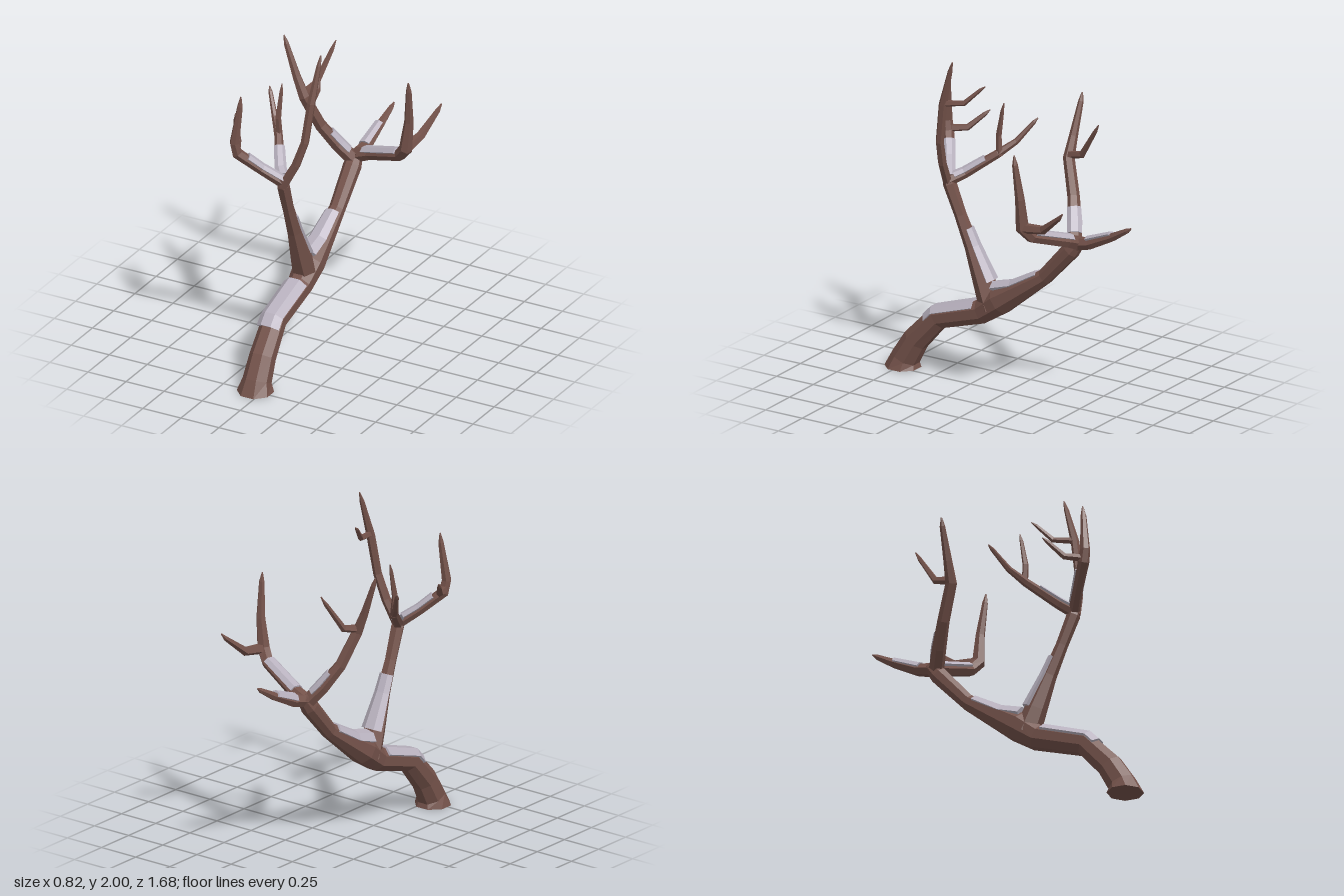
import * as THREE from 'three';

const UP = [0, 1, 0];

// Sweeps a cross-section along points [x, y, z, radius]; section(r) gives [angle, distance] pairs.
function sweep(path, section, normal, firstTangent) {
  const pts = path.map(p => new THREE.Vector3(p[0], p[1], p[2]));
  const n = new THREE.Vector3(...normal);
  const positions = [], index = [];
  const count = section(1).length;
  pts.forEach((p, i) => {
    const t = new THREE.Vector3();
    if (i > 0) t.add(p.clone().sub(pts[i - 1]).normalize());
    if (i < pts.length - 1) t.add(pts[i + 1].clone().sub(p).normalize());
    if (i === 0 && firstTangent) t.set(...firstTangent);
    t.normalize();
    n.addScaledVector(t, -n.dot(t)).normalize();
    const b = t.clone().cross(n);
    for (const [a, d] of section(path[i][3])) {
      const v = p.clone().addScaledVector(n, d * Math.cos(a)).addScaledVector(b, d * Math.sin(a));
      positions.push(v.x, v.y, v.z);
    }
  });
  for (let i = 0; i < pts.length - 1; i++) {
    for (let j = 0; j < count; j++) {
      const a = i * count + j, b = i * count + (j + 1) % count;
      index.push(a, b, b + count, a, b + count, a + count);
    }
  }
  const end = (pts.length - 1) * count;
  for (let j = 1; j < count - 1; j++) {
    index.push(0, j + 1, j, end, end + j, end + j + 1);
  }
  const indexed = new THREE.BufferGeometry();
  indexed.setAttribute('position', new THREE.Float32BufferAttribute(positions, 3));
  indexed.setIndex(index);
  const geo = indexed.toNonIndexed(); // separate faces for a faceted look
  geo.computeVertexNormals();
  return geo;
}

// Full round limb with a flat face towards its normal
const limbSection = sides => r =>
  Array.from({ length: sides }, (_, k) => [(k + 0.5) / sides * Math.PI * 2, r]);

// Snow cap: an arc just outside the limb, closed inside the wood
const snowSection = r => [
  ...[-62, -23, 23, 62].map(a => [a * Math.PI / 180, r + 0.012]),
  [Math.PI, r * 0.2],
];

export function createModel() {
  const bark = new THREE.MeshStandardMaterial({ color: 0x74524a });
  bark.name = 'bark brown';
  const snow = new THREE.MeshStandardMaterial({ color: 0xb9b2bf });
  snow.name = 'snow grey';

  const tree = new THREE.Group();
  tree.name = 'bareTree';
  const add = (name, geo, mat) => {
    const mesh = new THREE.Mesh(geo, mat);
    mesh.name = name;
    tree.add(mesh);
  };

  // Leaning trunk with a flared foot flat on the ground
  add('trunk', sweep([
    [-0.045, 0, 0.74, 0.108], [-0.045, 0.06, 0.72, 0.085], [-0.048, 0.18, 0.65, 0.078],
    [-0.055, 0.345, 0.5, 0.072], [-0.055, 0.44, 0.2, 0.075], [-0.055, 0.53, 0.08, 0.088],
    [-0.05, 0.74, -0.23, 0.048], [-0.05, 0.94, -0.41, 0.054], [-0.05, 1.01, -0.47, 0.035],
  ], limbSection(8), [0, 0, 1], UP), bark);

  // Branches and twigs, each starting inside its parent
  const limbs = {
    frontBranch: [[-0.055, 0.47, 0.13, 0.08], [-0.055, 0.62, 0.19, 0.066], [-0.052, 0.82, 0.272, 0.044],
      [-0.048, 1.0, 0.348, 0.036], [-0.042, 1.18, 0.418, 0.04], [-0.04, 1.235, 0.435, 0.025]],
    frontTallBranch: [[-0.04, 1.18, 0.43, 0.03], [0.04, 1.33, 0.415, 0.027], [0.09, 1.48, 0.4, 0.025],
      [0.112, 1.72, 0.365, 0.025], [0.128, 1.94, 0.305, 0.014], [0.132, 2.0, 0.287, 0.004]],
    frontTallTwig: [[0.112, 1.73, 0.36, 0.02], [0.085, 1.745, 0.24, 0.017],
      [0.045, 1.83, 0.155, 0.011], [0.035, 1.855, 0.125, 0.003]],
    frontRightBranch: [[-0.04, 1.2, 0.42, 0.035], [-0.15, 1.29, 0.49, 0.03], [-0.26, 1.4, 0.57, 0.034],
      [-0.27, 1.47, 0.583, 0.03], [-0.245, 1.7, 0.563, 0.017], [-0.243, 1.76, 0.557, 0.004]],
    frontRightTwig: [[-0.265, 1.42, 0.57, 0.024], [-0.31, 1.43, 0.47, 0.02],
      [-0.37, 1.51, 0.39, 0.013], [-0.385, 1.535, 0.365, 0.003]],
    frontInnerBranch: [[-0.04, 1.2, 0.42, 0.033], [-0.1, 1.24, 0.35, 0.03], [-0.2, 1.36, 0.19, 0.025],
      [-0.27, 1.43, 0.11, 0.018], [-0.34, 1.54, 0.035, 0.012], [-0.355, 1.565, 0.018, 0.003]],
    frontInnerTwig: [[-0.2, 1.35, 0.18, 0.02], [-0.205, 1.47, 0.188, 0.018],
      [-0.2, 1.63, 0.16, 0.011], [-0.2, 1.675, 0.15, 0.003]],
    backBranch: [[-0.05, 0.98, -0.42, 0.045], [-0.035, 1.01, -0.55, 0.036], [-0.03, 1.08, -0.7, 0.027],
      [-0.018, 1.145, -0.81, 0.016], [-0.015, 1.165, -0.84, 0.004]],
    backLeftBranch: [[-0.05, 0.99, -0.45, 0.045], [0.05, 1.03, -0.44, 0.04], [0.29, 1.115, -0.36, 0.038],
      [0.345, 1.18, -0.33, 0.04], [0.367, 1.36, -0.328, 0.028], [0.38, 1.57, -0.303, 0.017],
      [0.38, 1.625, -0.297, 0.004]],
    backLeftTwig: [[0.345, 1.18, -0.34, 0.033], [0.358, 1.2, -0.48, 0.027],
      [0.395, 1.31, -0.615, 0.015], [0.405, 1.345, -0.645, 0.004]],
    backRightBranch: [[-0.05, 0.97, -0.43, 0.045], [-0.13, 1.07, -0.38, 0.042], [-0.21, 1.2, -0.32, 0.036],
      [-0.275, 1.4, -0.245, 0.034], [-0.325, 1.52, -0.245, 0.026], [-0.395, 1.71, -0.25, 0.016],
      [-0.41, 1.76, -0.25, 0.004]],
    backRightTwig: [[-0.275, 1.42, -0.25, 0.026], [-0.255, 1.445, -0.35, 0.021],
      [-0.215, 1.62, -0.465, 0.013], [-0.205, 1.67, -0.495, 0.003]],
  };
  for (const [name, path] of Object.entries(limbs)) {
    add(name, sweep(path, limbSection(name.endsWith('Twig') ? 5 : 6), UP), bark);
  }

  // Snow lying on the upper sides, given as a path and the side it faces
  const patches = {
    trunkSnow: [[[-0.06, 0.3, 0.54, 0.07], [-0.06, 0.345, 0.5, 0.07], [-0.06, 0.43, 0.23, 0.072]], [0, 1, 0.6]],
    forkSnow: [[[-0.058, 0.565, 0.1, 0.07], [-0.055, 0.61, -0.03, 0.062], [-0.055, 0.72, -0.2, 0.046]], [-0.2, 1, 0.3]],
    frontBranchSnow: [[[-0.058, 0.62, 0.18, 0.062], [-0.056, 0.82, 0.272, 0.042], [-0.054, 0.92, 0.315, 0.037]], [-0.2, 0.3, -1]],
    frontRightSnow: [[[-0.05, 1.21, 0.427, 0.03], [-0.15, 1.29, 0.49, 0.028], [-0.22, 1.36, 0.54, 0.03]], UP],
    frontInnerSnow: [[[-0.06, 1.215, 0.395, 0.03], [-0.1, 1.24, 0.35, 0.028], [-0.165, 1.318, 0.246, 0.024]], UP],
    backSnow: [[[-0.036, 1.01, -0.54, 0.034], [-0.03, 1.08, -0.7, 0.025]], [-0.3, 1, 0]],
    backLeftSnow: [[[0.02, 1.02, -0.443, 0.036], [0.28, 1.112, -0.363, 0.034]], UP],
    backRightSnow: [[[-0.09, 1.02, -0.405, 0.036], [-0.13, 1.07, -0.38, 0.038], [-0.175, 1.143, -0.346, 0.034]], UP],
  };
  for (const [name, [path, normal]] of Object.entries(patches)) {
    add(name, sweep(path, snowSection, normal), snow);
  }
  return tree;
}
